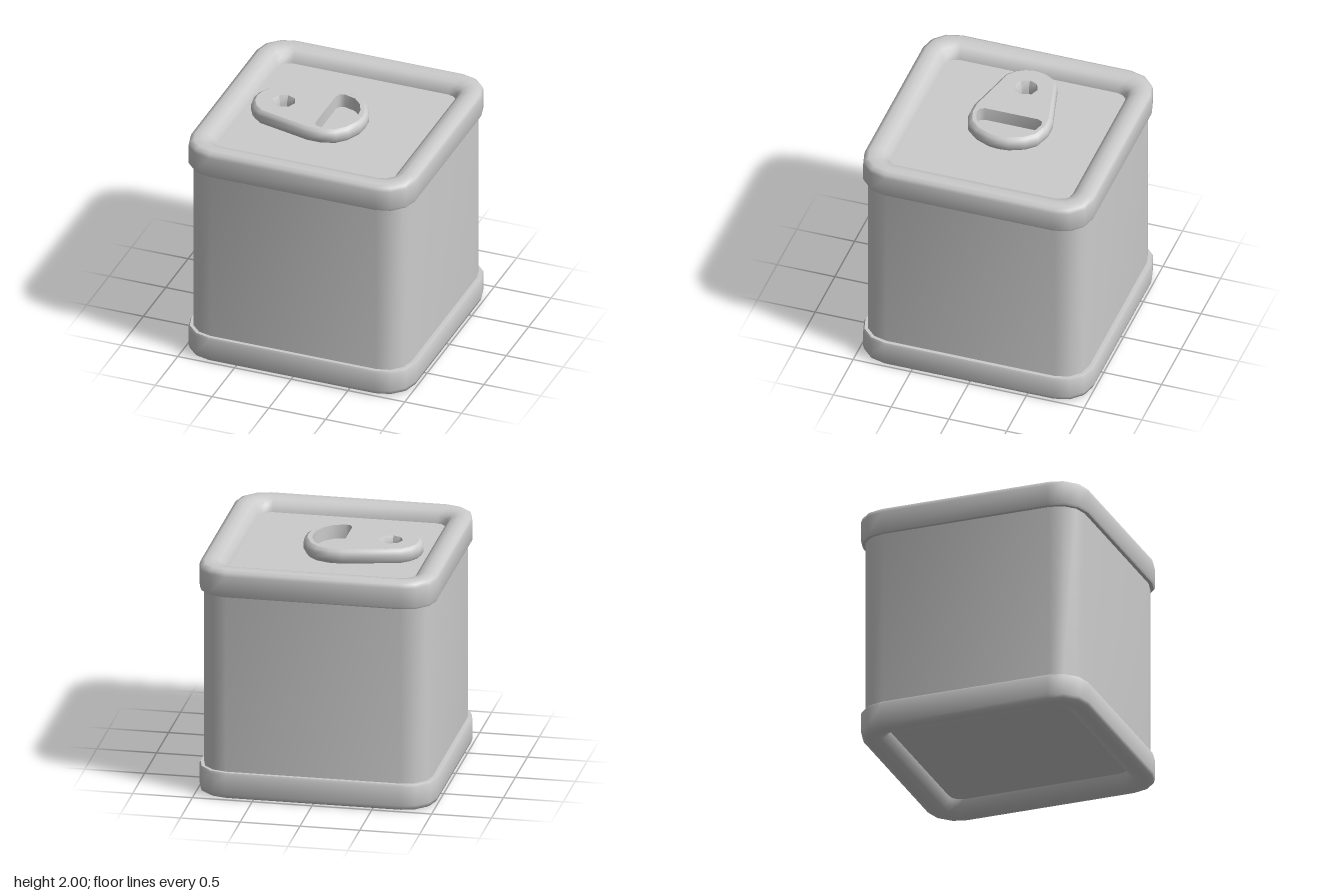
import * as THREE from 'three';
import { toCreasedNormals } from 'three/addons/utils/BufferGeometryUtils.js';

const metal = new THREE.MeshStandardMaterial({ color: 0xcccccc });
metal.name = 'plain grey metal';

// Rounded square as [x, z] points, three segments per corner
function roundedSquare(half, radius) {
  const pts = [];
  for (let c = 0; c < 4; c++) {
    const mid = Math.PI / 4 + c * Math.PI / 2;
    const cx = Math.sign(Math.cos(mid)) * (half - radius);
    const cz = Math.sign(Math.sin(mid)) * (half - radius);
    for (let s = 0; s <= 3; s++) {
      const a = (c + s / 3) * Math.PI / 2;
      pts.push([cx + radius * Math.cos(a), cz + radius * Math.sin(a)]);
    }
  }
  return pts;
}

// Skin between closed rings, each { pts, y }
function loft(name, rings, crease = 0.9) {
  const n = rings[0].pts.length, pos = [], idx = [];
  for (const { pts, y } of rings) for (const [x, z] of pts) pos.push(x, y, z);
  for (let r = 0; r < rings.length - 1; r++) {
    for (let i = 0; i < n; i++) {
      const a = r * n + i, b = r * n + (i + 1) % n;
      idx.push(a, a + n, b, b, a + n, b + n);
    }
  }
  const g = new THREE.BufferGeometry();
  g.setAttribute('position', new THREE.Float32BufferAttribute(pos, 3));
  g.setIndex(idx);
  return named(name, toCreasedNormals(g, crease));
}

// Flat upward-facing face with optional holes
function cap(name, pts, y, holes = []) {
  const to2 = list => list.map(([x, z]) => new THREE.Vector2(x, -z));
  const shape = new THREE.Shape(to2(pts));
  for (const h of holes) shape.holes.push(new THREE.Path(to2(h)));
  return named(name, new THREE.ShapeGeometry(shape).rotateX(-Math.PI / 2).translate(0, y, 0));
}

function named(name, geometry) {
  const mesh = new THREE.Mesh(geometry, metal);
  mesh.name = name;
  return mesh;
}

// Close a half outline (z >= 0) by mirroring it in z
function mirrorZ(half) {
  const back = half.filter(p => p[1] > 0).reverse().map(([x, z]) => [x, -z]);
  return [...half, ...back];
}

// Rolled rim with a recessed panel; heights are measured from the can's middle
function createEnd(name) {
  const profile = [
    [0.95, 0.22, 0.765], [0.985, 0.255, 0.765], [0.995, 0.265, 0.785],
    [0.995, 0.265, 0.945], [0.985, 0.255, 0.978], [0.95, 0.22, 0.995],
    [0.89, 0.18, 0.995], [0.835, 0.14, 0.98], [0.795, 0.11, 0.94], [0.78, 0.1, 0.885],
  ];
  const end = new THREE.Group();
  end.name = name;
  end.add(loft('rim', profile.map(([h, r, y]) => ({ pts: roundedSquare(h, r), y }))));
  end.add(cap('recessedPanel', roundedSquare(0.78, 0.1), 0.885));
  end.position.y = 0.995;
  return end;
}

function createPullTab() {
  const tab = new THREE.Group();
  tab.name = 'pullTab';
  const base = 1.88, top = 2;
  const outline = mirrorZ([
    [0.265, 0], [0.255, 0.09], [0.2, 0.22], [0.12, 0.305], [0, 0.345], [-0.12, 0.345],
    [-0.6, 0.225], [-0.67, 0.165], [-0.715, 0.085], [-0.73, 0],
  ]);
  const inset = d => outline.map(([x, z]) =>
    [-0.23 + (x + 0.23) * (1 - d / 0.5), z * (1 - d / 0.345)]);
  const fingerHole = mirrorZ([
    [0.19, 0], [0.18, 0.09], [0.14, 0.18], [0.07, 0.25], [-0.03, 0.28],
    [-0.07, 0.27], [-0.09, 0.23],
  ]);
  const octagon = r => Array.from({ length: 8 }, (_, i) =>
    [-0.46 + r * Math.cos(i * Math.PI / 4), r * Math.sin(i * Math.PI / 4)]);

  // Rounded outer edge and flat top
  tab.add(loft('tabEdge', [
    { pts: inset(0.02), y: base }, { pts: inset(0), y: base + 0.03 },
    { pts: inset(0), y: top - 0.045 }, { pts: inset(0.012), y: top - 0.015 },
    { pts: inset(0.035), y: top },
  ]));
  tab.add(cap('tabTop', inset(0.035), top, [fingerHole, octagon(0.1)]));
  // Walls of the two openings
  tab.add(loft('fingerHoleWall', [{ pts: fingerHole, y: top }, { pts: fingerHole, y: base }]));
  tab.add(loft('rivetHoleWall', [
    { pts: octagon(0.1), y: top }, { pts: octagon(0.075), y: top - 0.05 },
    { pts: octagon(0.075), y: base },
  ], 0.5));
  return tab;
}

export function createModel() {
  const can = new THREE.Group();
  can.name = 'squareCan';
  const wall = roundedSquare(0.955, 0.225);
  can.add(loft('body', [{ pts: wall, y: 0.2 }, { pts: wall, y: 1.79 }]));
  const lid = createEnd('lid');
  const bottom = createEnd('bottom');
  bottom.rotation.x = Math.PI;
  can.add(lid, bottom, createPullTab());
  return can;
}
